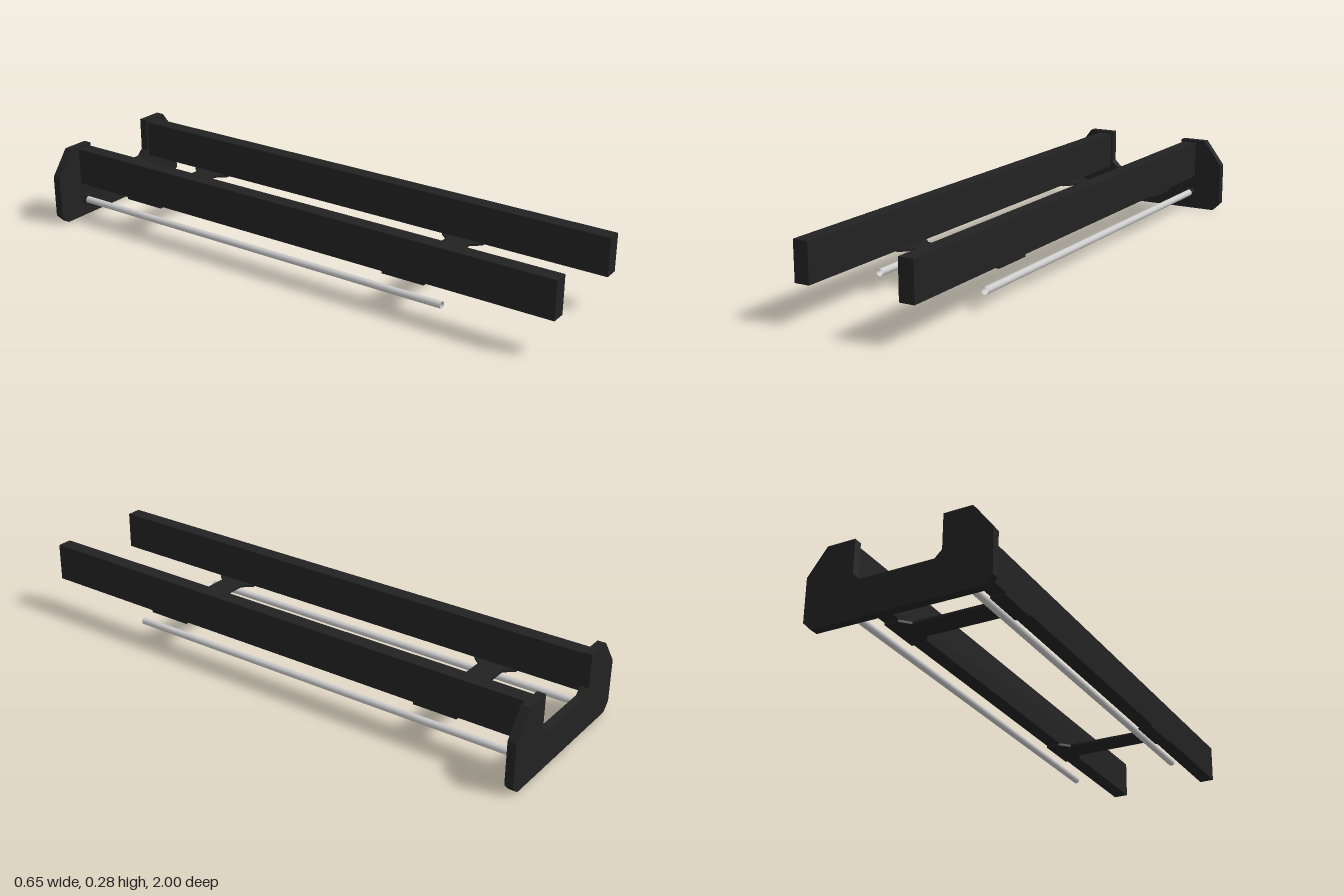
import * as THREE from 'three';

const dark = new THREE.MeshStandardMaterial({ color: 0x222222 });
const steel = new THREE.MeshStandardMaterial({ color: 0xcccccc, side: THREE.DoubleSide });

// Closed shape from the +x half of a symmetric outline, listed bottom to top
function mirroredShape(half) {
  const other = half.map(([x, y]) => [-x, y]).reverse();
  return new THREE.Shape([...half, ...other].map(([x, y]) => new THREE.Vector2(x, y)));
}

function extrude(shape, depth) {
  return new THREE.ExtrudeGeometry(shape, { depth, bevelEnabled: false });
}

export function createModel() {
  const group = new THREE.Group();
  const add = (name, geometry, material, x = 0, y = 0, z = 0) => {
    const mesh = new THREE.Mesh(geometry, material);
    mesh.name = name;
    mesh.position.set(x, y, z);
    group.add(mesh);
    return mesh;
  };

  // U-shaped plate across the back
  const plate = mirroredShape([
    [0.295, 0], [0.325, 0.03], [0.325, 0.185], [0.255, 0.277],
    [0.155, 0.277], [0.155, 0.155], [0.13, 0.131],
  ]);
  add('endPlate', extrude(plate, 0.03), dark, 0, 0, -1);

  // Thin cross braces under the rails, flared where they meet them
  const brace = mirroredShape([
    [0.135, -0.045], [0.167, -0.08], [0.217, -0.08],
    [0.217, 0.08], [0.167, 0.08], [0.135, 0.045],
  ]);
  const braceGeometry = extrude(brace, 0.009).rotateX(-Math.PI / 2);
  add('frontBrace', braceGeometry, dark, 0, 0.123, 0.46);
  add('backBrace', braceGeometry, dark, 0, 0.123, -0.653);

  // Rail, hollow rod and hexagonal collar on each side
  const railGeometry = new THREE.BoxGeometry(0.054, 0.137, 1.97);
  const rodGeometry = new THREE.CylinderGeometry(0.0125, 0.0125, 1.57, 24, 1, true).rotateX(Math.PI / 2);
  const collarGeometry = new THREE.CylinderGeometry(0.019, 0.019, 0.015, 6)
    .toNonIndexed().rotateY(Math.PI / 6).rotateX(Math.PI / 2);
  for (const [side, s] of [['left', 1], ['right', -1]]) {
    add(side + 'Rail', railGeometry, dark, s * 0.19, 0.1995, 0.015);
    add(side + 'Rod', rodGeometry, steel, s * 0.2, 0.064, -0.185);
    const collar = add(side + 'Collar', collarGeometry, dark, s * 0.2, 0.064, -0.9625);
    collar.geometry.computeVertexNormals();
  }
  return group;
}
